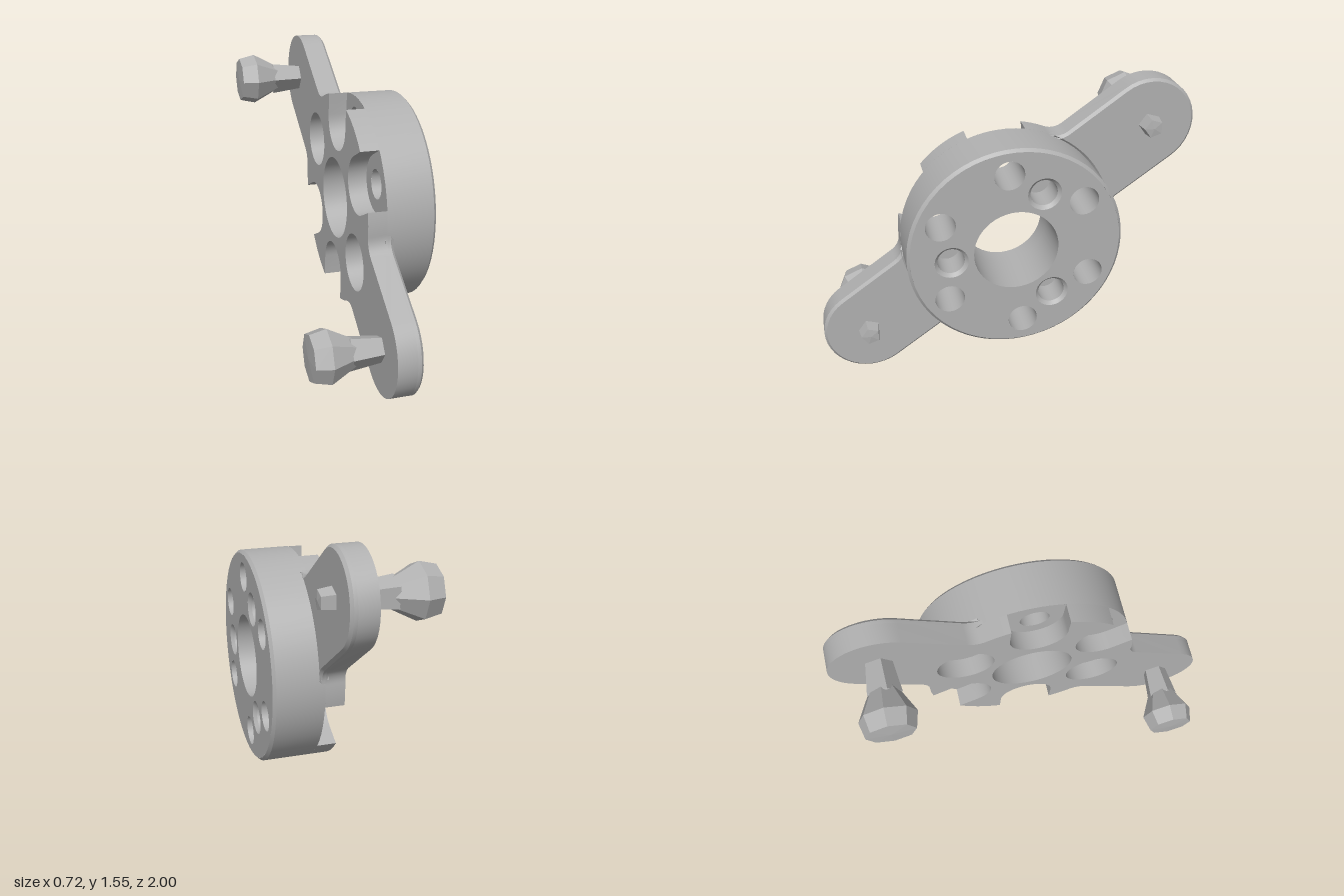
import * as THREE from 'three';
import { toCreasedNormals } from 'three/addons/utils/BufferGeometryUtils.js';

const CY = 0.775;          // height of the hub axis
const R = 0.56;            // hub radius
const BORE = 0.22;
const W = 0.243;           // arm half width
const ARM = 0.924;         // hub axis to arm end centre
const FIL = 0.1;           // arm fillet radius
const HOLE_R = 0.425, HOLE = 0.077, POCKET = 0.15;
const rad = THREE.MathUtils.degToRad;
const ARM_ANGLE = 35;
const HOLE_ANGLES = [35, 95, 155, 215, 275, 335];

const grey = new THREE.MeshStandardMaterial({ color: 0xb0b0b0, side: THREE.DoubleSide });
grey.name = 'grey';

// points on an arc, degrees
function arc(cx, cy, r, a0, a1, n) {
  return Array.from({ length: n + 1 }, (_, i) => {
    const a = rad(a0 + (a1 - a0) * i / n);
    return new THREE.Vector2(cx + r * Math.cos(a), cy + r * Math.sin(a));
  });
}
const turn = (pts, deg) => pts.map(p => p.clone().rotateAround(new THREE.Vector2(), rad(deg)));

// arm outline pointing along +x, blending into the hub with fillets
const filX = Math.sqrt((R + FIL) ** 2 - (W + FIL) ** 2);
const filA = THREE.MathUtils.radToDeg(Math.atan2(W + FIL, filX));
const armOutline = () => [
  ...arc(filX, -W - FIL, FIL, 180 - filA, 90, 6),
  ...arc(ARM, 0, W, -90, 90, 20),
  ...arc(filX, W + FIL, FIL, -90, -180 + filA, 6),
];

// U-shaped slot cut in from the rim, pointing along +x
const slotX = Math.sqrt(R * R - POCKET * POCKET);
const slotA = THREE.MathUtils.radToDeg(Math.asin(POCKET / R));
const slotOutline = () => [
  new THREE.Vector2(slotX, -POCKET),
  ...arc(HOLE_R, 0, POCKET, -90, -270, 16),
  new THREE.Vector2(slotX, POCKET),
];

function addHole(shape, r, dist = 0, deg = 0) {
  const p = new THREE.Path();
  p.absarc(dist * Math.cos(rad(deg)), dist * Math.sin(rad(deg)), r, 0, Math.PI * 2, true);
  shape.holes.push(p);
}
function disc(r) {
  const s = new THREE.Shape();
  s.absarc(0, 0, r, 0, Math.PI * 2, false);
  return s;
}

export function createModel() {
  const group = new THREE.Group();
  const add = (geo, name, y = CY, z = 0, crease = 30) => {
    const mesh = new THREE.Mesh(toCreasedNormals(geo, rad(crease)), grey);
    mesh.name = name;
    mesh.position.set(0, y, z);
    group.add(mesh);
  };
  // shapes are drawn in the (-z, y) plane and extruded towards +x
  const extrude = (shape, x0, depth, bevel = 0) => new THREE.ExtrudeGeometry(shape, {
    depth: depth - 2 * bevel, curveSegments: 24, bevelEnabled: bevel > 0,
    bevelThickness: bevel, bevelSize: bevel, bevelOffset: -bevel, bevelSegments: 1,
  }).translate(0, 0, x0 + bevel).rotateY(Math.PI / 2);
  const face = (shape, x) => new THREE.ShapeGeometry(shape, 24).translate(0, 0, x).rotateY(Math.PI / 2);
  // profile points are [radius, x]
  const lathe = (pts, segs) =>
    new THREE.LatheGeometry(pts.map(p => new THREE.Vector2(...p)), segs).rotateZ(-Math.PI / 2);
  const place = (dist, deg) => [CY + dist * Math.sin(rad(deg)), -dist * Math.cos(rad(deg))];

  // back plate: hub, both arms and four open slots in one outline
  const outline = [];
  for (const half of [0, 180]) {
    const a = ARM_ANGLE + half;
    outline.push(
      ...turn(armOutline(), a),
      ...arc(0, 0, R, a + filA + 1, a + 60 - slotA - 1, 4),
      ...turn(slotOutline(), a + 60),
      ...arc(0, 0, R, a + 60 + slotA + 1, a + 120 - slotA - 1, 8),
      ...turn(slotOutline(), a + 120),
      ...arc(0, 0, R, a + 120 + slotA + 1, a + 180 - filA - 1, 4),
    );
  }
  const plate = new THREE.Shape(outline);
  addHole(plate, BORE);
  for (const a of [ARM_ANGLE, ARM_ANGLE + 180]) addHole(plate, POCKET, HOLE_R, a);
  add(extrude(plate, 0, 0.1), 'backPlate');

  // bevelled outer layer of each arm
  for (const a of [ARM_ANGLE, ARM_ANGLE + 180]) {
    const pts = [...armOutline(), ...arc(0, 0, R - 0.004, filA - 2, -filA + 2, 12)];
    add(extrude(new THREE.Shape(turn(pts, a)), 0.086, 0.046, 0.014), 'armCover');
  }

  // hub body: rim, faces and bore
  add(lathe([[R, 0.1], [R, 0.345], [0.545, 0.36]], 64), 'hubRim');
  add(lathe([[BORE, 0.1], [BORE, 0.36]], 48), 'boreWall');
  const outer = disc(0.545), inner = disc(R);
  for (const s of [outer, inner]) {
    addHole(s, BORE);
    HOLE_ANGLES.forEach(a => addHole(s, HOLE, HOLE_R, a));
  }
  const blindAngles = [65, 185, 305];
  blindAngles.forEach(a => addHole(outer, 0.087, 0.336, a));
  add(face(outer, 0.36), 'hubFace');
  add(face(inner, 0.1), 'slotFloor');

  // through holes and chamfered blind holes
  for (const a of HOLE_ANGLES)
    add(lathe([[HOLE, 0.1], [HOLE, 0.36]], 28), 'boltHole', ...place(HOLE_R, a));
  for (const a of blindAngles)
    add(lathe([[0, 0.2], [0.07, 0.2], [0.07, 0.342], [0.087, 0.36]], 28), 'blindHole', ...place(0.336, a));

  // faceted pins through the arm ends
  for (const a of [ARM_ANGLE, ARM_ANGLE + 180]) {
    const at = place(ARM, a);
    add(lathe([[0, -0.36], [0.122, -0.355], [0.142, -0.27], [0.068, -0.13], [0, -0.12]], 8), 'pinHead', ...at, 1);
    add(lathe([[0, -0.2], [0.09, -0.16], [0.07, 0], [0.06, 0.13], [0.05, 0.2], [0, 0.205]], 5), 'pinStem', ...at, 1);
  }
  return group;
}
